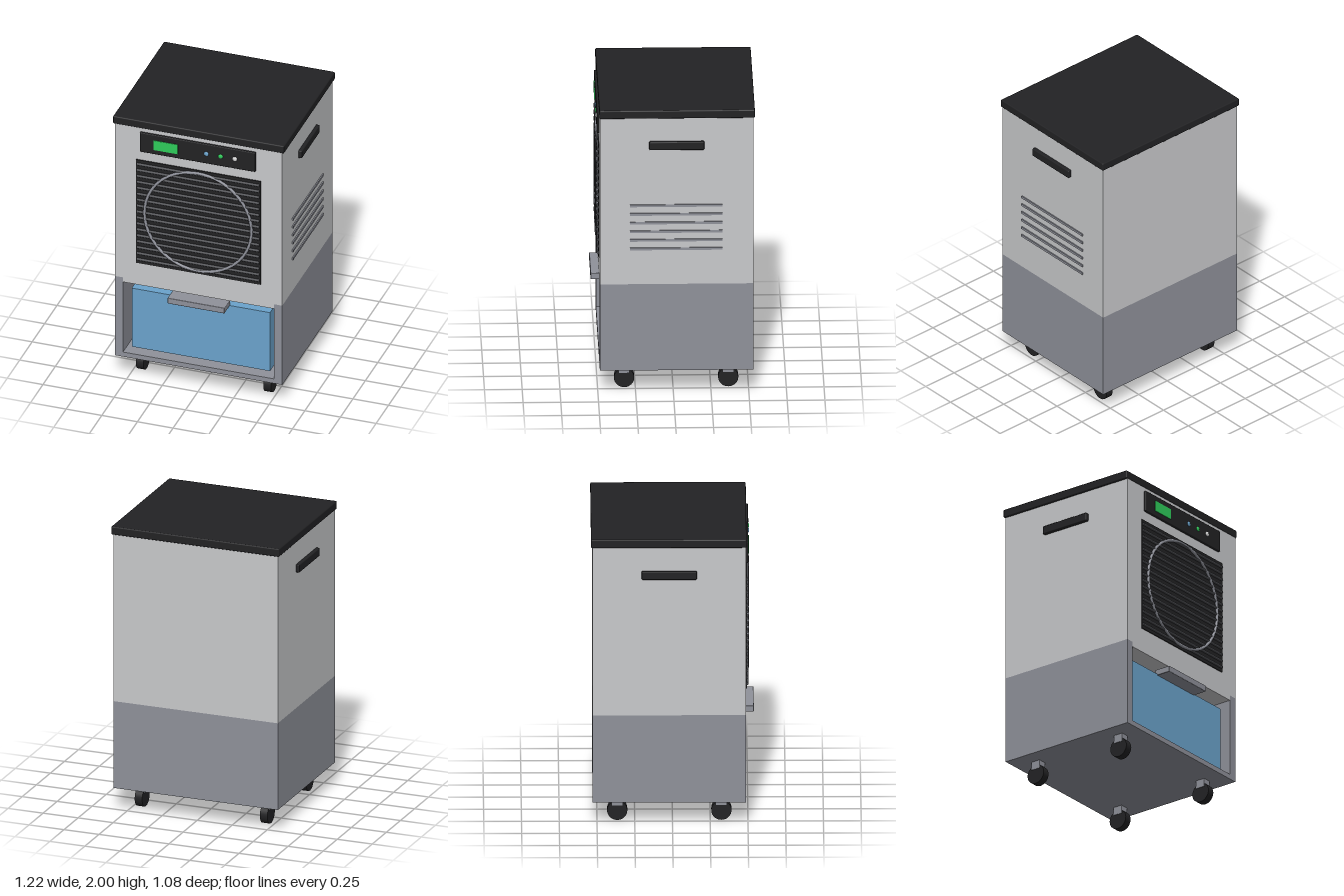
import * as THREE from 'three';
import { RoundedBoxGeometry } from 'three/addons/geometries/RoundedBoxGeometry.js';

export function createModel() {
  const root = new THREE.Group();
  root.name = 'dehumidifier';

  const mat = (name, color) => {
    const m = new THREE.MeshStandardMaterial({ color });
    m.name = name;
    return m;
  };
  const shell = mat('light grey shell', 0xc8c9cb);
  const grey = mat('mid grey plastic', 0x8f919a);
  const black = mat('black plastic', 0x222224);
  const slatGrey = mat('dark grey slats', 0x47484c);
  const blue = mat('blue tank', 0x6ba3cc);
  const green = mat('green display', 0x2ecc5a);
  const white = mat('pale button', 0xdddddd);

  const add = (name, geo, material, x = 0, y = 0, z = 0, parent = root) => {
    const mesh = new THREE.Mesh(geo, material);
    mesh.name = name;
    mesh.position.set(x, y, z);
    parent.add(mesh);
    return mesh;
  };
  // Box given by its minimum and maximum corners; r rounds the edges
  const box = (name, material, [x0, y0, z0], [x1, y1, z1], r = 0, parent = root) => {
    const size = [x1 - x0, y1 - y0, z1 - z0];
    const geo = r ? new RoundedBoxGeometry(...size, 2, r) : new THREE.BoxGeometry(...size);
    return add(name, geo, material, (x0 + x1) / 2, (y0 + y1) / 2, (z0 + z1) / 2, parent);
  };

  const W = 0.587, F = 0.487, B = -0.529;

  // Cabinet and lid
  box('upperShell', shell, [-W, 0.77, B], [W, 1.95, F]);
  box('shellLip', shell, [-0.53, 0.735, -0.47], [0.53, 0.77, F]);
  box('lid', black, [-0.6, 1.943, -0.54], [0.6, 2, 0.49], 0.008);

  // U-shaped base, open at the front for the tank
  const u = new THREE.Shape([
    [-W, 0.16], [W, 0.16], [W, 0.77], [0.53, 0.77],
    [0.53, 0.195], [-0.53, 0.195], [-0.53, 0.77], [-W, 0.77],
  ].map(([x, y]) => new THREE.Vector2(x, y)));
  add('baseWalls', new THREE.ExtrudeGeometry(u, { depth: F + 0.47, bevelEnabled: false }), grey, 0, 0, -0.47);
  box('baseBack', grey, [-W, 0.16, B], [W, 0.77, -0.47]);

  // Water tank with pull handle
  box('waterTank', blue, [-0.485, 0.22, -0.42], [0.485, 0.67, 0.44]);
  box('tankHandle', grey, [-0.2, 0.662, 0.42], [0.2, 0.705, 0.54], 0.005);

  // Control panel with display and buttons
  box('controlPanel', black, [-0.407, 1.77, 0.47], [0.403, 1.918, 0.503], 0.006);
  box('display', green, [-0.31, 1.805, 0.5], [-0.14, 1.878, 0.507]);
  [[0.06, blue], [0.16, green], [0.26, white]].forEach(([x, m]) => {
    const button = add('button', new THREE.SphereGeometry(0.017, 20, 12), m, x, 1.845, 0.502);
    button.scale.z = 0.5;
  });

  // Air grille: backing, slats and fan ring
  const grille = new THREE.Group();
  grille.name = 'airGrille';
  root.add(grille);
  box('grilleBacking', black, [-0.437, 0.905, 0.47], [0.437, 1.7, 0.494], 0, grille);
  const slatGeo = new THREE.CylinderGeometry(0.01, 0.01, 0.86, 10).rotateZ(Math.PI / 2);
  for (let i = 0; i < 17; i++) {
    add('slat', slatGeo, slatGrey, 0, 0.937 + i * 0.0457, 0.495, grille);
  }
  add('fanRing', new THREE.TorusGeometry(0.375, 0.01, 10, 64), grey, 0, 1.305, 0.498, grille);

  // Side grips
  for (const s of [-1, 1]) {
    const grip = new RoundedBoxGeometry(0.05, 0.057, 0.365, 2, 0.007);
    add('sideGrip', grip, black, s * 0.586, 1.752, -0.022);
  }

  // Side vent strips, on the model's left only
  for (let i = 0; i < 6; i++) {
    const y = 1.02 + i * 0.061;
    box('ventStrip', grey, [0.58, y - 0.008, -0.325], [0.595, y + 0.008, 0.288]);
  }

  // Casters
  const wheelGeo = new THREE.CylinderGeometry(0.067, 0.067, 0.053, 32).rotateZ(Math.PI / 2);
  for (const x of [-0.447, 0.447]) {
    for (const z of [-0.366, 0.324]) {
      const caster = new THREE.Group();
      caster.name = 'caster';
      caster.position.set(x, 0, z);
      root.add(caster);
      add('wheel', wheelGeo, black, 0, 0.067, 0, caster);
      add('casterMount', new THREE.BoxGeometry(0.06, 0.058, 0.068), grey, 0, 0.132, 0, caster);
    }
  }
  return root;
}
